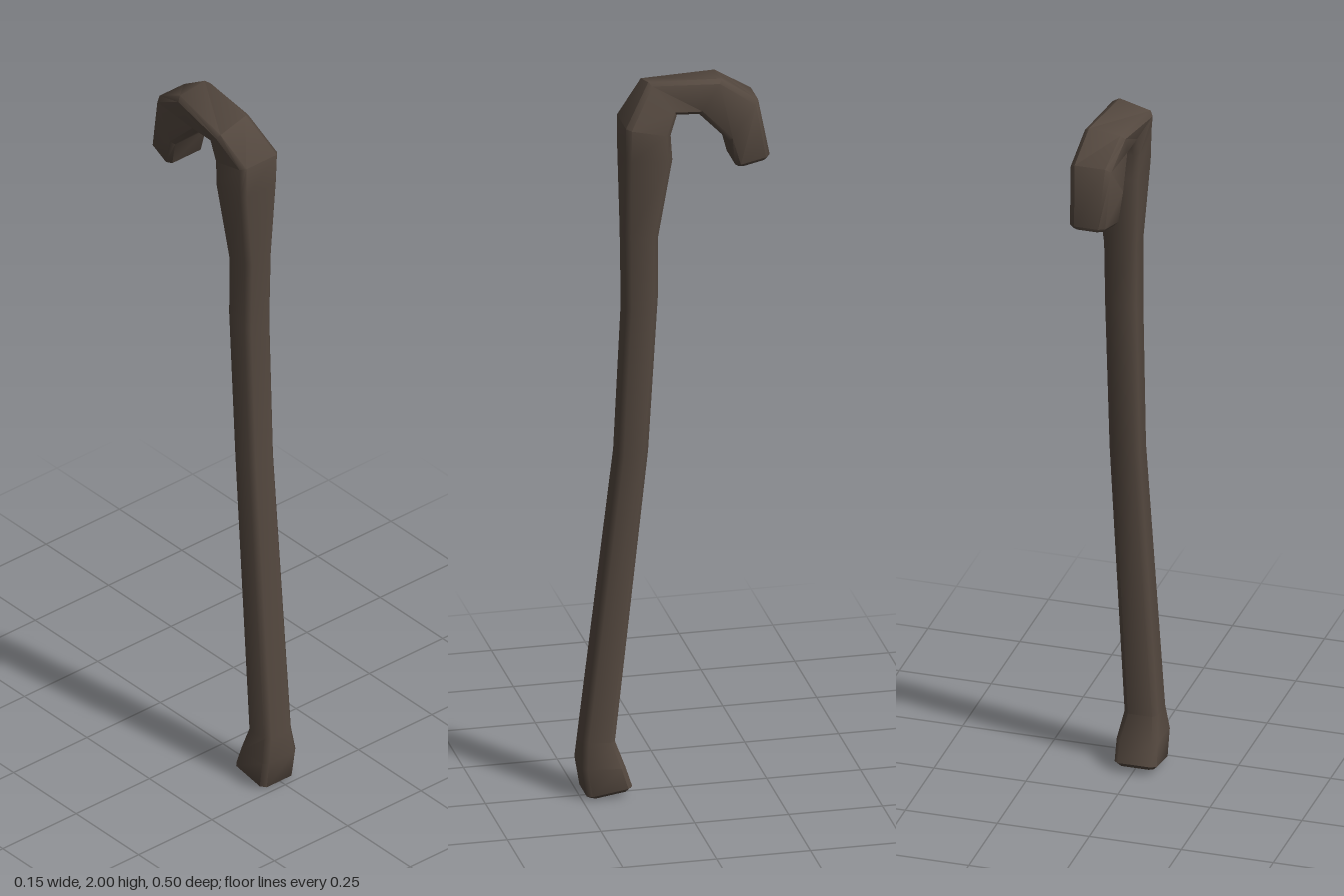
import * as THREE from 'three';
import { toCreasedNormals } from 'three/addons/utils/BufferGeometryUtils.js';

// Stations from foot to hook tip:
// outer z, outer y, inner z, inner y, outer x min/max, inner x min/max, drop of the outer -x corner
const stations = [
  [0.235, 0.0, 0.115, 0.02, -0.065, 0.045, -0.065, 0.05, 0],
  [0.25, 0.09, 0.135, 0.085, -0.068, 0.045, -0.062, 0.05, 0],
  [0.245, 0.16, 0.16, 0.155, -0.056, 0.034, -0.056, 0.036, 0],
  [0.155, 0.96, 0.075, 0.97, -0.032, 0.05, -0.032, 0.05, 0],
  [0.135, 1.37, 0.05, 1.4, -0.031, 0.054, -0.031, 0.054, 0],
  [0.138, 1.58, 0.05, 1.57, -0.031, 0.057, -0.031, 0.057, 0],
  [0.14, 1.8, 0.015, 1.79, -0.05, 0.073, -0.045, 0.07, 0],
  [0.14, 1.89, 0.02, 1.86, -0.052, 0.077, -0.05, 0.072, 0],
  [0.07, 2.0, 0.0, 1.91, -0.08, 0.03, -0.045, 0.058, 0.03],
  [-0.12, 2.0, -0.06, 1.905, -0.057, 0.054, -0.045, 0.055, 0.012],
  [-0.215, 1.935, -0.135, 1.83, -0.045, 0.064, -0.06, 0.07, 0],
  [-0.25, 1.765, -0.155, 1.75, -0.036, 0.055, -0.055, 0.068, 0],
];
const BEVEL = 0.013;

// Four-cornered section with each corner cut, giving an eight-sided ring
function ring([zo, yo, zi, yi, ol, or, il, ir, drop]) {
  const corners = [
    new THREE.Vector3(ol, yo - drop, zo), new THREE.Vector3(or, yo, zo),
    new THREE.Vector3(ir, yi, zi), new THREE.Vector3(il, yi, zi),
  ];
  return corners.flatMap((c, i) => [corners[(i + 3) % 4], corners[(i + 1) % 4]].map((n) =>
    c.clone().addScaledVector(n.clone().sub(c).normalize(), BEVEL)));
}

const centre = (r) => r.reduce((s, p) => s.add(p), new THREE.Vector3()).divideScalar(r.length);

// Bevel an end: pull the last ring back a little and add a smaller ring at the end plane
function bevelEnd(end, next) {
  const c = centre(end);
  const back = centre(next).sub(c).normalize().multiplyScalar(0.01);
  const inset = end.map((p) => p.clone().lerp(c, 0.17));
  return [inset, end.map((p) => p.clone().add(back))];
}

function loft(rings) {
  const pos = [];
  const tri = (...pts) => pts.forEach((p) => pos.push(p.x, p.y, p.z));
  const first = rings[0], last = rings[rings.length - 1];
  const c0 = centre(first), c1 = centre(last);
  for (let i = 0; i < 8; i++) {
    const j = (i + 1) % 8;
    for (let k = 0; k < rings.length - 1; k++) {
      const a = rings[k], b = rings[k + 1];
      tri(a[i], a[j], b[j]);
      tri(a[i], b[j], b[i]);
    }
    tri(c0, first[j], first[i]);
    tri(c1, last[i], last[j]);
  }
  const geo = new THREE.BufferGeometry();
  geo.setAttribute('position', new THREE.Float32BufferAttribute(pos, 3));
  return toCreasedNormals(geo, 0.85);
}

export function createModel() {
  const group = new THREE.Group();
  group.name = 'walkingCane';
  const wood = new THREE.MeshStandardMaterial({ color: 0x54483f });

  // Shaft, flared foot and curved handle are one carved piece
  const rings = stations.map(ring);
  const n = rings.length;
  const foot = bevelEnd(rings[0], rings[1]);
  const tip = bevelEnd(rings[n - 1], rings[n - 2]).reverse();
  const cane = new THREE.Mesh(loft([...foot, ...rings.slice(1, n - 1), ...tip]), wood);
  cane.name = 'cane';
  group.add(cane);
  return group;
}
